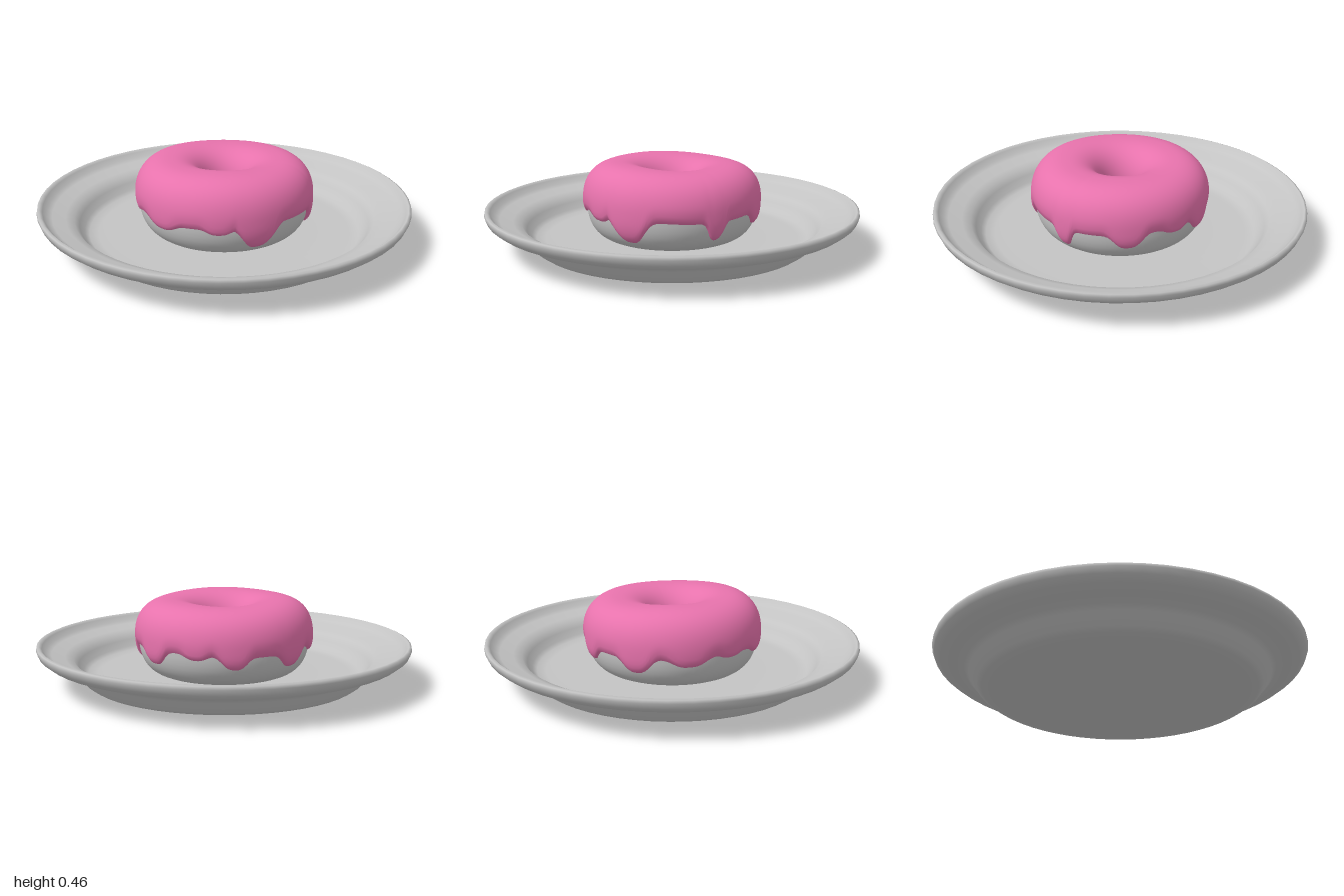
import * as THREE from 'three';

const RING = 0.287;      // radius of the ring's centre line
const FLOOR = 0.05;      // height of the plate's eating surface
const MID = 0.25;        // height of the ring's centre line
const SQUARE = 2.4;      // superellipse exponent of the ring's section
const rad = THREE.MathUtils.degToRad;

// Icing drips: [direction from the front in degrees, half-width in degrees, drop]
const DRIPS = [
  [30, 12, 0.13], [5, 9, 0.035], [87, 6, 0.1], [130, 10, 0.08], [162, 8, 0.03], [187, 9, 0.07],
  [229, 10, 0.08], [263, 12, 0.05], [292, 8, 0.02], [325, 11, 0.04],
];

const power = (v, p) => Math.sign(v) * Math.abs(v) ** p;

// Surface swept round the y axis; point(angle, v) gives [radius, height]
function sweep(around, across, point) {
  const positions = [], index = [];
  for (let i = 0; i < around; i++) {
    const angle = (i / around) * Math.PI * 2;
    for (let j = 0; j <= across; j++) {
      const [r, y] = point(angle, j / across);
      positions.push(Math.sin(angle) * r, y, Math.cos(angle) * r);
    }
  }
  const row = across + 1;
  for (let i = 0; i < around; i++) {
    for (let j = 0; j < across; j++) {
      const a = i * row + j, b = ((i + 1) % around) * row + j;
      index.push(a, b, b + 1, a, b + 1, a + 1);
    }
  }
  const geometry = new THREE.BufferGeometry();
  geometry.setAttribute('position', new THREE.Float32BufferAttribute(positions, 3));
  geometry.setIndex(index);
  geometry.computeVertexNormals();
  return geometry;
}

// Point on the ring's section at angle t (0 outward, 90 degrees up), grown by an offset
function section(t, offset) {
  return [
    RING + (0.17 + offset) * power(Math.cos(t), 2 / SQUARE),
    MID + (0.18 + offset) * power(Math.sin(t), 2 / SQUARE),
  ];
}

// Height of the icing's outer edge in a given direction
function edgeHeight(angle) {
  let drop = 0;
  for (const [direction, width, depth] of DRIPS) {
    const d = Math.atan2(Math.sin(angle - rad(direction)), Math.cos(angle - rad(direction)));
    drop = Math.max(drop, depth * Math.exp(-((Math.abs(d) / rad(width)) ** 3)));
  }
  return 0.212 + 0.008 * Math.sin(angle * 3) - drop;
}

function icingPoint(angle, v) {
  const start = -Math.asin(Math.min(1, Math.max(0, (MID - edgeHeight(angle)) / 0.2) ** (SQUARE / 2)));
  const t = THREE.MathUtils.lerp(start, rad(215), v);
  // Rounded lip that tucks into the dough at both edges
  const lip = Math.min(1, Math.min(v, 1 - v) / 0.09);
  const offset = -0.008 + 0.03 * Math.sqrt(1 - (1 - lip) ** 2);
  const [r, y] = section(t, offset);
  // Gentle unevenness of the top
  const wave = 0.007 * Math.cos(angle + 0.35) + 0.003 * Math.sin(angle * 3 + 1);
  return [r, y + wave * Math.max(0, Math.sin(t))];
}

function createPlate(material) {
  // Underside from the centre outwards, over the rim, and back along the top
  const profile = [
    [0, 0], [0.45, 0.002], [0.68, 0.008], [0.73, 0.014], [0.76, 0.035], [0.8, 0.09], [0.825, 0.112],
    [0.88, 0.128], [0.95, 0.148], [0.985, 0.175], [0.998, 0.205], [0.995, 0.221], [0.983, 0.226],
    [0.968, 0.214], [0.95, 0.188], [0.92, 0.175], [0.85, 0.158], [0.805, 0.142], [0.78, 0.11],
    [0.755, 0.075], [0.73, 0.058], [0.68, 0.051], [0.5, FLOOR], [0, FLOOR],
  ].map(([r, y]) => new THREE.Vector2(r, y));
  const plate = new THREE.Mesh(new THREE.LatheGeometry(profile, 56), material);
  plate.name = 'plate';
  return plate;
}

export function createModel() {
  const china = new THREE.MeshStandardMaterial({ color: 0xc4c4c4 });
  china.name = 'pale grey';
  const pink = new THREE.MeshStandardMaterial({ color: 0xe873ad, side: THREE.DoubleSide });
  pink.name = 'pink icing';

  const model = new THREE.Group();
  model.name = 'doughnutOnPlate';
  model.add(createPlate(china));

  // Dough ring, resting on the plate
  const dough = new THREE.Mesh(
    sweep(80, 40, (angle, v) => {
      const [r, y] = section(v * Math.PI * 2, 0);
      return [r, y < MID ? MID + (y - MID) * 1.11 : y];
    }),
    china,
  );
  dough.name = 'dough';

  // Icing shell with drips
  const icing = new THREE.Mesh(sweep(200, 44, icingPoint), pink);
  icing.name = 'icing';

  model.add(dough, icing);
  return model;
}
